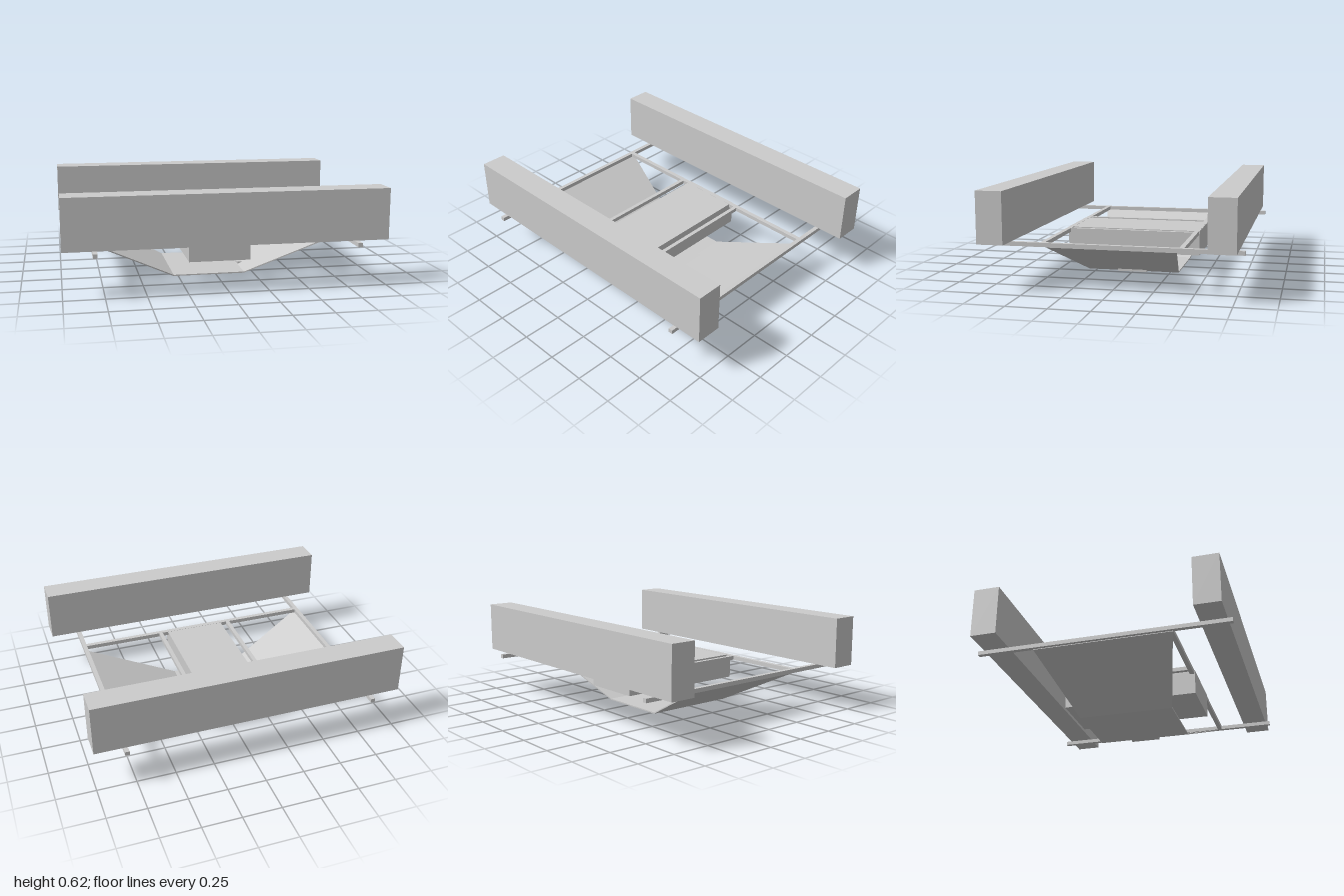
import * as THREE from 'three';

const material = new THREE.MeshStandardMaterial({ color: 0xcccccc, flatShading: true, side: THREE.DoubleSide });

// Box given by its extents on each axis
function box(name, [x0, x1], [y0, y1], [z0, z1]) {
  const mesh = new THREE.Mesh(new THREE.BoxGeometry(x1 - x0, y1 - y0, z1 - z0), material);
  mesh.position.set((x0 + x1) / 2, (y0 + y1) / 2, (z0 + z1) / 2);
  mesh.name = name;
  return mesh;
}

// Thin plate between two edges, each with its own x, y and half width in z
function plate(name, a, b, thickness = 0.008) {
  const geometry = new THREE.BoxGeometry(1, thickness, 2);
  const p = geometry.attributes.position;
  for (let i = 0; i < p.count; i++) {
    const end = p.getX(i) < 0 ? a : b;
    p.setXYZ(i, end.x, end.y + p.getY(i), p.getZ(i) * end.half);
  }
  geometry.computeVertexNormals();
  const mesh = new THREE.Mesh(geometry, material);
  mesh.name = name;
  return mesh;
}

export function createModel() {
  const model = new THREE.Group();
  model.name = 'beamFrame';
  const barY = [0.262, 0.288];

  // Two heavy beams on top, and the frame bars beneath them
  for (const s of [-1, 1]) {
    const span = (near, far) => (s > 0 ? [near, far] : [-far, -near]);
    const side = s > 0 ? 'left' : 'right';
    const end = s > 0 ? 'front' : 'back';
    model.add(
      box(end + 'Beam', [-1, 1], [0.297, 0.618], span(0.604, 0.768)),
      box(side + 'CrossBar', span(0.792, 0.82), barY, [-0.8, 0.8]),
      box(end + 'LongBar', [-0.792, 0.792], barY, span(0.412, 0.441)),
      box(side + 'InnerBar', span(0.241, 0.267), barY, [-0.412, 0.412])
    );
  }

  // Central block hung between the inner bars
  model.add(box('centralBlock', [-0.2, 0.2], [0.125, 0.287], [-0.445, 0.445]));

  // Folded tray under the frame
  const edges = [
    { x: -0.8, y: 0.262, half: 0.44 },
    { x: -0.28, y: 0.006, half: 0.307 },
    { x: 0.19, y: 0.006, half: 0.307 },
    { x: 0.81, y: 0.262, half: 0.4 },
  ];
  ['rightTrayPanel', 'trayFloor', 'leftTrayPanel'].forEach((name, i) =>
    model.add(plate(name, edges[i], edges[i + 1])));

  // Small grip at the fold of the tray
  model.add(box('trayGrip', [0.192, 0.23], [0.004, 0.025], [-0.097, 0.097]));

  return model;
}
